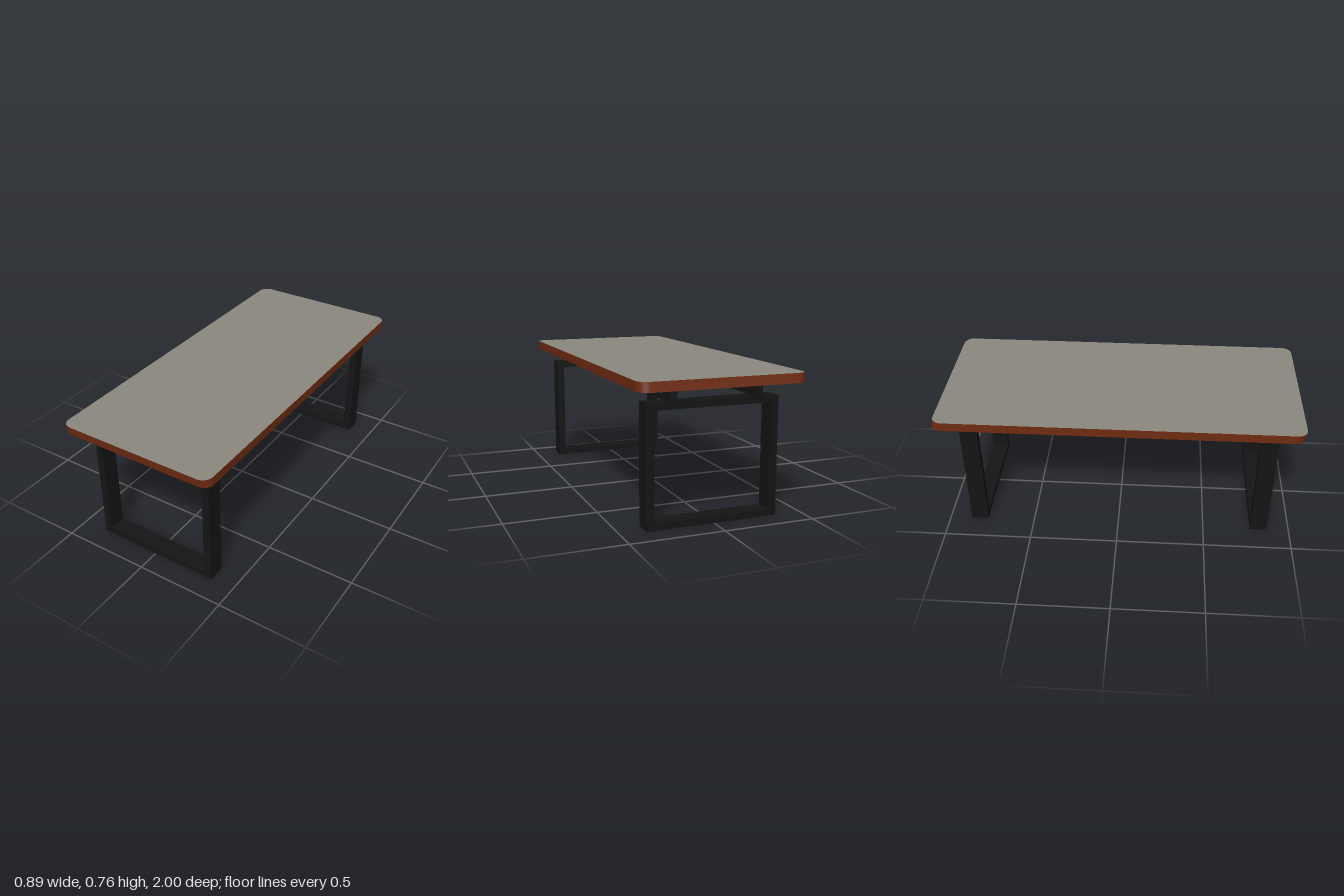
import * as THREE from 'three';

const steel = new THREE.MeshStandardMaterial({ color: 0x141414 });
const wood = new THREE.MeshStandardMaterial({ color: 0x6e2a10 });
const laminate = new THREE.MeshStandardMaterial({ color: 0x8a877d });

// Closed rectangle between two corners, as a Shape or a hole Path
function rect(path, x0, y0, x1, y1) {
  path.moveTo(x0, y0);
  path.lineTo(x1, y0);
  path.lineTo(x1, y1);
  path.lineTo(x0, y1);
  path.closePath();
  return path;
}

function roundedRect(w, h, r) {
  const s = new THREE.Shape();
  s.absarc(w - r, h - r, r, 0, Math.PI / 2);
  s.absarc(r - w, h - r, r, Math.PI / 2, Math.PI);
  s.absarc(r - w, r - h, r, Math.PI, Math.PI * 1.5);
  s.absarc(w - r, r - h, r, Math.PI * 1.5, Math.PI * 2);
  s.closePath();
  return s;
}

export function createModel() {
  const table = new THREE.Group();
  table.name = 'table';

  // Tabletop: rounded slab with wooden edge, leaning very slightly along z
  const slab = new THREE.ExtrudeGeometry(roundedRect(0.446, 0.996, 0.055), {
    depth: 0.05, bevelEnabled: false, curveSegments: 6,
  });
  slab.rotateX(-Math.PI / 2);
  const p = slab.attributes.position;
  for (let i = 0; i < p.count; i++) {
    p.setZ(i, p.getZ(i) + (p.getY(i) > 0.025 ? 0.004 : -0.004));
  }
  slab.computeVertexNormals();
  const top = new THREE.Mesh(slab, [laminate, wood]);
  top.name = 'tabletop';
  top.position.y = 0.711;
  table.add(top);

  // Leg frames: one rectangular loop at each end
  const outline = rect(new THREE.Shape(), -0.352, 0, 0.366, 0.635);
  outline.holes.push(rect(new THREE.Path(), -0.311, 0.035, 0.323, 0.6));
  const frame = new THREE.ExtrudeGeometry(outline, { depth: 0.098, bevelEnabled: false });
  for (const [name, z] of [['frontLegFrame', 0.775], ['backLegFrame', -0.873]]) {
    const leg = new THREE.Mesh(frame, steel);
    leg.name = name;
    leg.position.z = z;
    table.add(leg);
  }

  // Rails running lengthwise between the frames and the top
  const railGeometry = new THREE.BoxGeometry(0.04, 0.076, 1.746);
  for (const [name, x] of [['rightRail', -0.241], ['leftRail', 0.226]]) {
    const rail = new THREE.Mesh(railGeometry, steel);
    rail.name = name;
    rail.position.set(x, 0.673, 0);
    table.add(rail);
  }
  return table;
}
